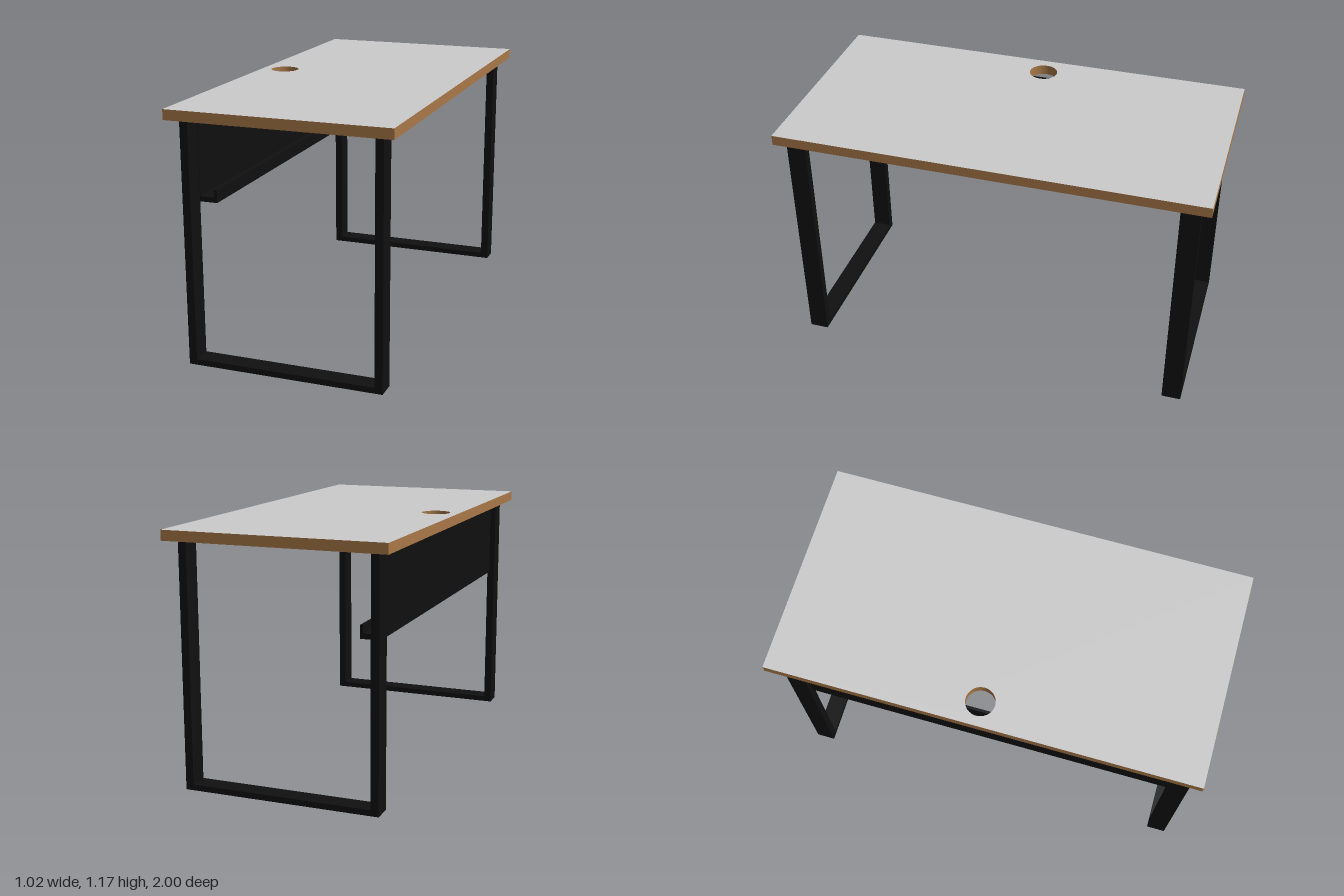
import * as THREE from 'three';

const grey = new THREE.MeshStandardMaterial({ color: 0xcccccc });
const wood = new THREE.MeshStandardMaterial({ color: 0xa87848 });
const black = new THREE.MeshStandardMaterial({ color: 0x101010 });

// Box given by its lower and upper corners
function box(name, [x0, y0, z0], [x1, y1, z1]) {
  const mesh = new THREE.Mesh(new THREE.BoxGeometry(x1 - x0, y1 - y0, z1 - z0), black);
  mesh.position.set((x0 + x1) / 2, (y0 + y1) / 2, (z0 + z1) / 2);
  mesh.name = name;
  return mesh;
}

const polygon = (points) => new THREE.Shape(points.map(([x, y]) => new THREE.Vector2(x, y)));

export function createModel() {
  const desk = new THREE.Group();
  desk.name = 'desk';

  // Tabletop: grey faces, wooden edges, round cable hole
  const outline = polygon([[-0.512, -1], [0.512, -1], [0.512, 1], [-0.512, 1]]);
  outline.holes.push(new THREE.Path().absarc(-0.4, -0.027, 0.067, 0, Math.PI * 2, true));
  const topGeometry = new THREE.ExtrudeGeometry(outline, { depth: 0.047, bevelEnabled: false, curveSegments: 32 });
  topGeometry.rotateX(Math.PI / 2).translate(0, 1.17, 0);
  const tabletop = new THREE.Mesh(topGeometry, [grey, wood]);
  tabletop.name = 'tabletop';
  desk.add(tabletop);

  // U-shaped leg frame at each end
  for (const [name, z0, z1] of [['frontLegFrame', 0.87, 0.96], ['rearLegFrame', -0.952, -0.862]]) {
    const frame = new THREE.Group();
    frame.name = name;
    frame.add(
      box('rightLeg', [-0.457, 0, z0], [-0.42, 1.123, z1]),
      box('leftLeg', [0.42, 0, z0], [0.457, 1.123, z1]),
      box('floorBar', [-0.42, 0, z0], [0.42, 0.027, z1]),
    );
    desk.add(frame);
  }

  // Panel between the legs, folded at the bottom into a cable tray
  const profile = polygon([
    [-0.43, 1.123], [-0.43, 0.739], [-0.338, 0.739], [-0.338, 0.798],
    [-0.353, 0.798], [-0.353, 0.763], [-0.418, 0.763], [-0.418, 1.123],
  ]);
  const panelGeometry = new THREE.ExtrudeGeometry(profile, { depth: 1.732, bevelEnabled: false });
  panelGeometry.translate(0, 0, -0.862);
  const panel = new THREE.Mesh(panelGeometry, black);
  panel.name = 'panelWithCableTray';
  desk.add(panel);

  return desk;
}
